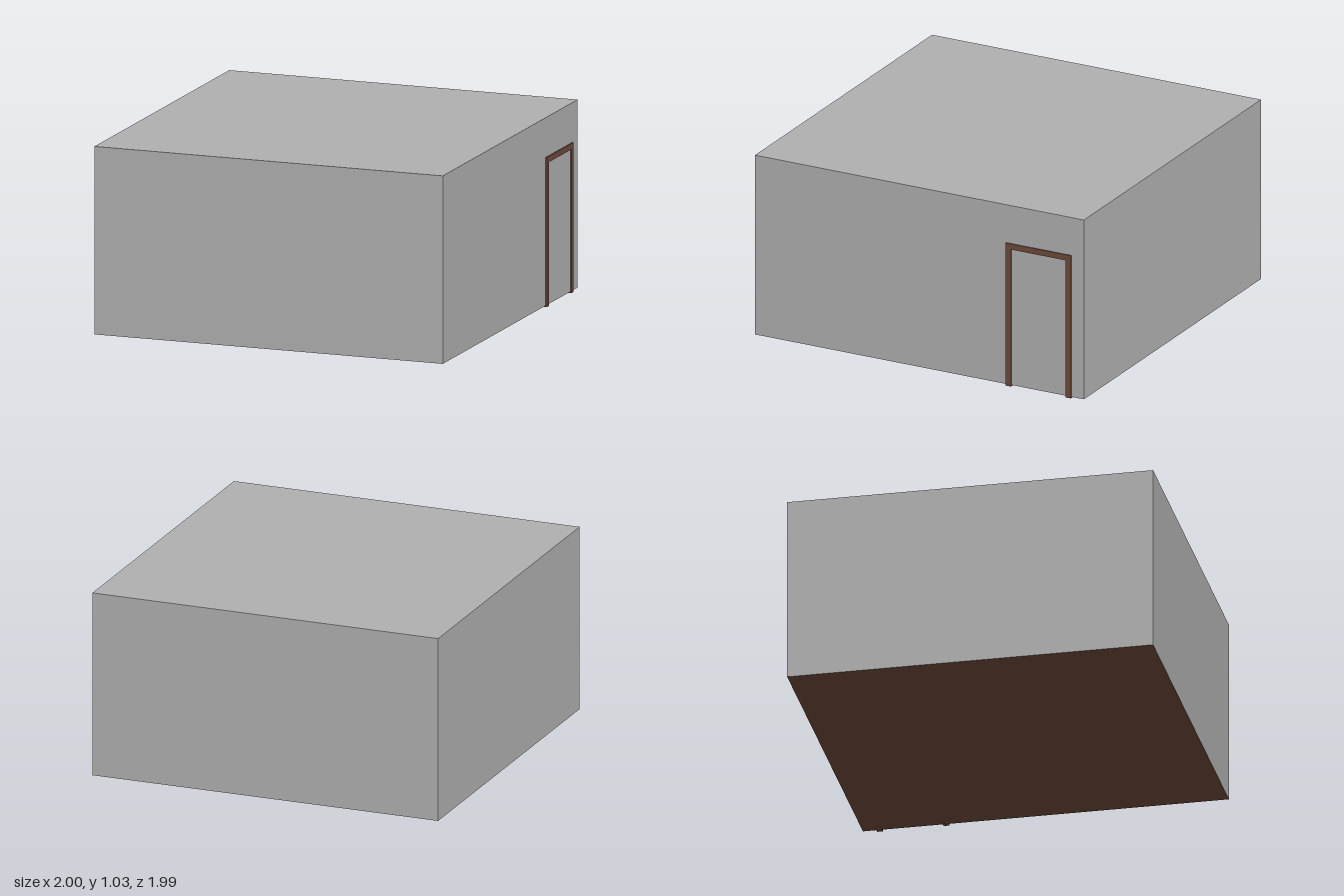
import * as THREE from 'three';

export function createModel() {
  const model = new THREE.Group();
  model.name = 'room';

  const wallGrey = new THREE.MeshStandardMaterial({ color: 0xb0b0b0, side: THREE.DoubleSide });
  wallGrey.name = 'wall grey';
  const woodBrown = new THREE.MeshStandardMaterial({ color: 0x6f4a3b, side: THREE.DoubleSide });
  woodBrown.name = 'wood brown';

  // Room shell: thin walls and ceiling, open underneath
  const x0 = -1, x1 = 0.993, z0 = -0.997, z1 = 0.997, y0 = 0.007, y1 = 1.035;
  const w = x1 - x0, d = z1 - z0, h = y1 - y0;
  const cx = (x0 + x1) / 2, cy = (y0 + y1) / 2;

  function panel(name, width, height, material, position, rx, ry) {
    const mesh = new THREE.Mesh(new THREE.PlaneGeometry(width, height), material);
    mesh.name = name;
    mesh.position.set(...position);
    mesh.rotation.set(rx, ry, 0);
    model.add(mesh);
  }
  panel('frontWall', w, h, wallGrey, [cx, cy, z1], 0, 0);
  panel('backWall', w, h, wallGrey, [cx, cy, z0], 0, Math.PI);
  panel('leftWall', d, h, wallGrey, [x1, cy, 0], 0, Math.PI / 2);
  panel('rightWall', d, h, wallGrey, [x0, cy, 0], 0, -Math.PI / 2);
  panel('ceiling', w, d, wallGrey, [cx, y1, 0], -Math.PI / 2, 0);
  panel('floor', w, d, woodBrown, [cx, y0, 0], -Math.PI / 2, 0);

  // Door frame: two posts and a lintel set through the wall
  const doorFrame = new THREE.Group();
  doorFrame.name = 'doorFrame';
  const depth = 0.03, bar = 0.032, top = 0.818, zNear = -0.526, zFar = -0.921;
  function beam(name, height, length, y, z) {
    const mesh = new THREE.Mesh(new THREE.BoxGeometry(depth, height, length), woodBrown);
    mesh.name = name;
    mesh.position.set(1 - depth / 2, y, z);
    doorFrame.add(mesh);
  }
  beam('frontPost', top - bar, bar, (top - bar) / 2, zNear - bar / 2);
  beam('backPost', top - bar, bar, (top - bar) / 2, zFar + bar / 2);
  beam('lintel', bar, zNear - zFar, top - bar / 2, (zNear + zFar) / 2);
  model.add(doorFrame);

  return model;
}
